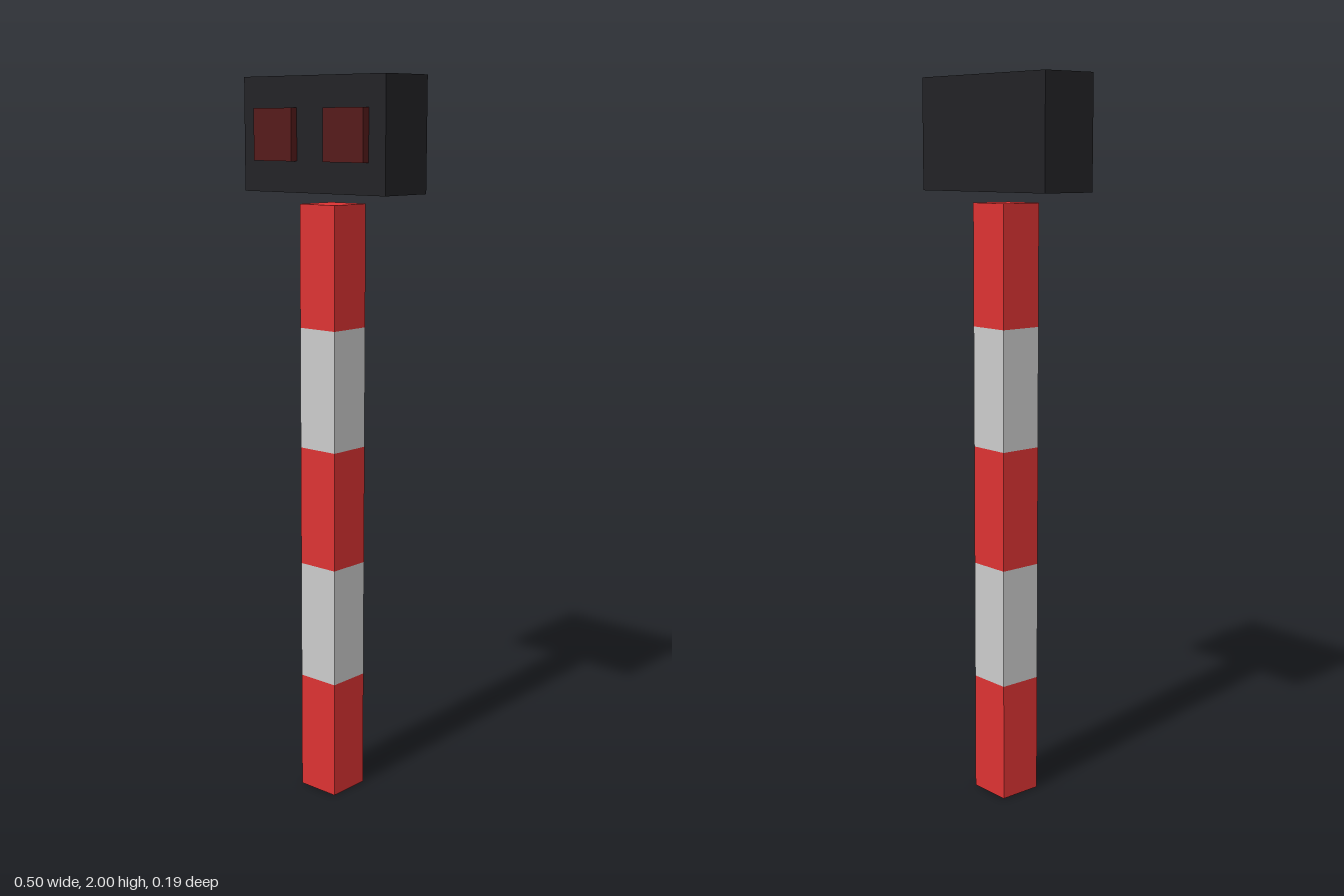
import * as THREE from 'three';

const material = (color) => new THREE.MeshStandardMaterial({ color });

function addBox(parent, name, size, position, mat) {
  const mesh = new THREE.Mesh(new THREE.BoxGeometry(...size), mat);
  mesh.name = name;
  mesh.position.set(...position);
  parent.add(mesh);
}

export function createModel() {
  const model = new THREE.Group();
  model.name = 'crossingSignal';
  const red = material(0xdd3333);
  const grey = material(0xcccccc);
  const black = material(0x222226);
  const darkRed = material(0x551a1a);

  // Square post of alternating bands
  const post = new THREE.Group();
  post.name = 'post';
  const bands = 5;
  const bandHeight = 1.667 / bands;
  for (let i = 0; i < bands; i++) {
    addBox(post, `postBand${i + 1}`, [0.125, bandHeight, 0.125],
      [0, (i + 0.5) * bandHeight, -0.009], i % 2 ? grey : red);
  }
  model.add(post);

  // Signal housing, floating just above the post
  const head = new THREE.Group();
  head.name = 'signalHead';
  addBox(head, 'housing', [0.5, 0.303, 0.166], [0, 1.8485, -0.012], black);

  // Pair of square lamps on the front
  for (const side of [-1, 1]) {
    addBox(head, side > 0 ? 'leftLamp' : 'rightLamp', [0.138, 0.138, 0.022],
      [side * 0.125, 1.8485, 0.082], darkRed);
  }
  model.add(head);

  return model;
}
